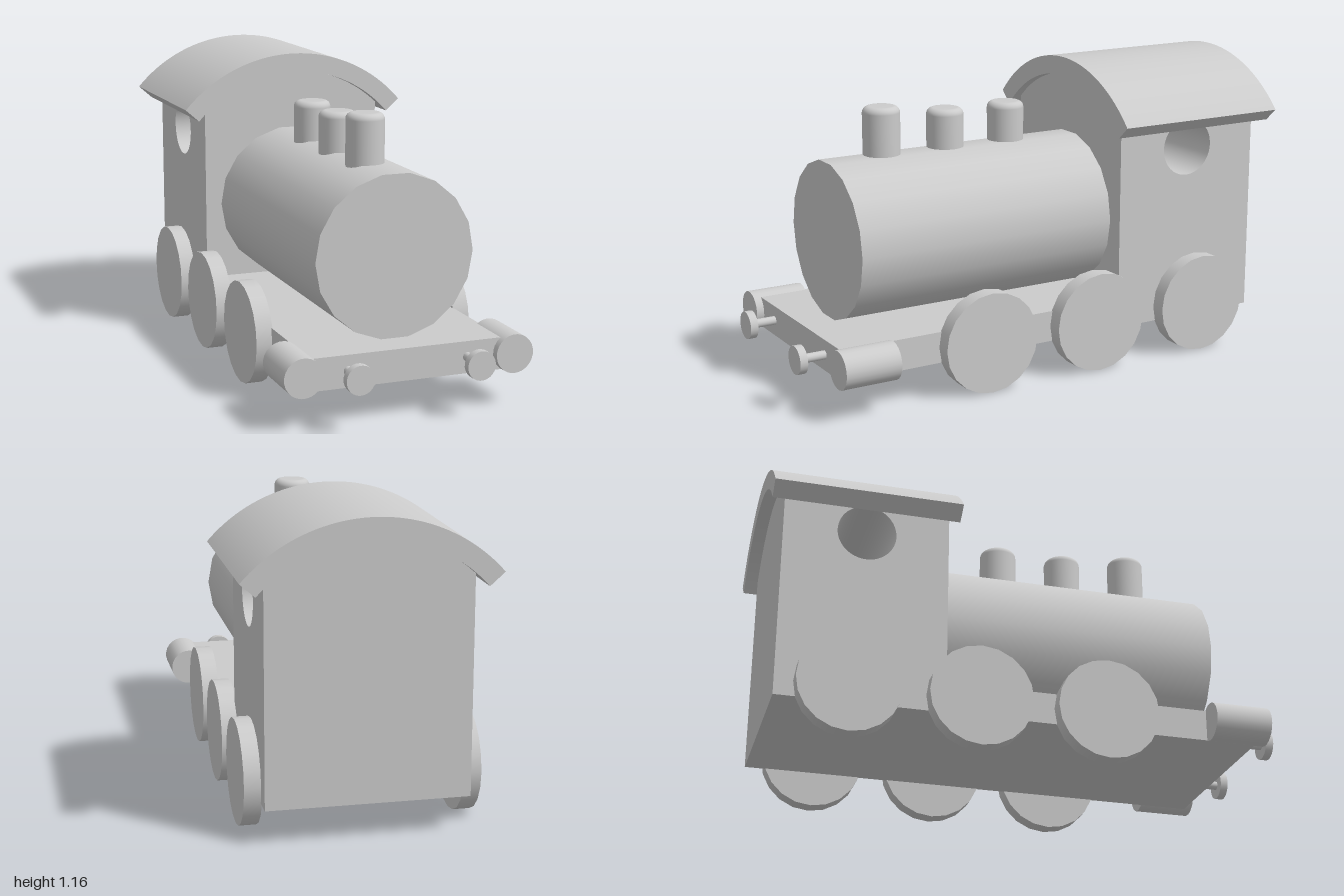
import * as THREE from 'three';
import { toCreasedNormals } from 'three/addons/utils/BufferGeometryUtils.js';

export function createModel() {
  const model = new THREE.Group();
  const material = new THREE.MeshStandardMaterial({ color: 0xcccccc });

  const add = (name, geometry, x = 0, y = 0, z = 0) => {
    const mesh = new THREE.Mesh(geometry, material);
    mesh.name = name;
    mesh.position.set(x, y, z);
    model.add(mesh);
    return mesh;
  };
  // Cylinder lying along z, from z0 to z1
  const rodZ = (name, r, sides, x, y, z0, z1) => add(
    name,
    new THREE.CylinderGeometry(r, r, z1 - z0, sides).rotateY(Math.PI / sides).rotateX(Math.PI / 2),
    x, y, (z0 + z1) / 2);
  const extrude = (shape, depth) => toCreasedNormals(
    new THREE.ExtrudeGeometry(shape, { depth, bevelEnabled: false, curveSegments: 32 }), 0.6);

  // Chassis plate
  const halfWidth = 0.37, cabFront = -0.32, cabBack = -0.95;
  add('chassis', new THREE.BoxGeometry(halfWidth * 2, 0.12, 0.88 - cabFront), 0, 0.195, (0.88 + cabFront) / 2);

  // Boiler
  rodZ('boiler', 0.305, 18, 0, 0.557, cabFront, 0.755);

  // Chimney and domes with rounded tops
  const stack = (name, z, top) => {
    const r = 0.072, bottom = 0.8, round = 0.025;
    const points = [new THREE.Vector2(r, bottom)];
    for (let i = 0; i <= 6; i++) {
      const a = (i / 6) * Math.PI / 2;
      points.push(new THREE.Vector2(r - round + round * Math.cos(a), top - round + round * Math.sin(a)));
    }
    points.push(new THREE.Vector2(0, top));
    add(name, new THREE.LatheGeometry(points, 28), -0.018, 0, z);
  };
  stack('chimney', 0.51, 1.043);
  stack('frontDome', 0.237, 1.01);
  stack('rearDome', -0.033, 1.01);

  // Cab body, with a round window running straight through it
  const arcY = 0.55, innerR = 0.54, outerR = 0.613;
  const eaves = arcY + Math.sqrt(innerR ** 2 - halfWidth ** 2);
  const side = new THREE.Shape();
  side.moveTo(cabBack, 0.135);
  side.lineTo(cabFront, 0.135);
  side.lineTo(cabFront, eaves);
  side.lineTo(cabBack, eaves);
  side.closePath();
  side.holes.push(new THREE.Path().absarc(-0.635, 0.829, 0.112, 0, Math.PI * 2, true));
  add('cabBody', extrude(side, halfWidth * 2).rotateY(-Math.PI / 2), halfWidth);

  // Arched upper part of the cab
  const lean = Math.asin(halfWidth / innerR);
  const arch = new THREE.Shape();
  arch.absarc(0, arcY, innerR - 0.001, Math.PI / 2 - lean, Math.PI / 2 + lean, false);
  arch.closePath();
  add('cabArch', extrude(arch, cabFront - cabBack), 0, 0, cabBack);

  // Curved roof
  const spread = 0.848;
  const roof = new THREE.Shape();
  roof.absarc(0, arcY, outerR, Math.PI / 2 - spread, Math.PI / 2 + spread, false);
  roof.absarc(0, arcY, innerR, Math.PI / 2 + spread, Math.PI / 2 - spread, true);
  roof.closePath();
  add('roof', extrude(roof, 0.715), 0, 0, -1);

  // Mirrored running gear and buffers
  for (const [label, s] of [['left', 1], ['right', -1]]) {
    [0.285, -0.2, -0.685].forEach((z, i) => add(
      `${label}Wheel${i + 1}`,
      new THREE.CylinderGeometry(0.195, 0.195, 0.065, 20).rotateZ(Math.PI / 2),
      s * 0.398, 0.195, z));
    rodZ(`${label}SteamCylinder`, 0.073, 24, s * 0.406, 0.197, 0.69, 0.91);
    rodZ(`${label}BufferRod`, 0.017, 16, s * 0.23, 0.197, 0.86, 0.98);
    rodZ(`${label}BufferDisc`, 0.054, 24, s * 0.23, 0.197, 0.97, 1);
  }
  return model;
}
